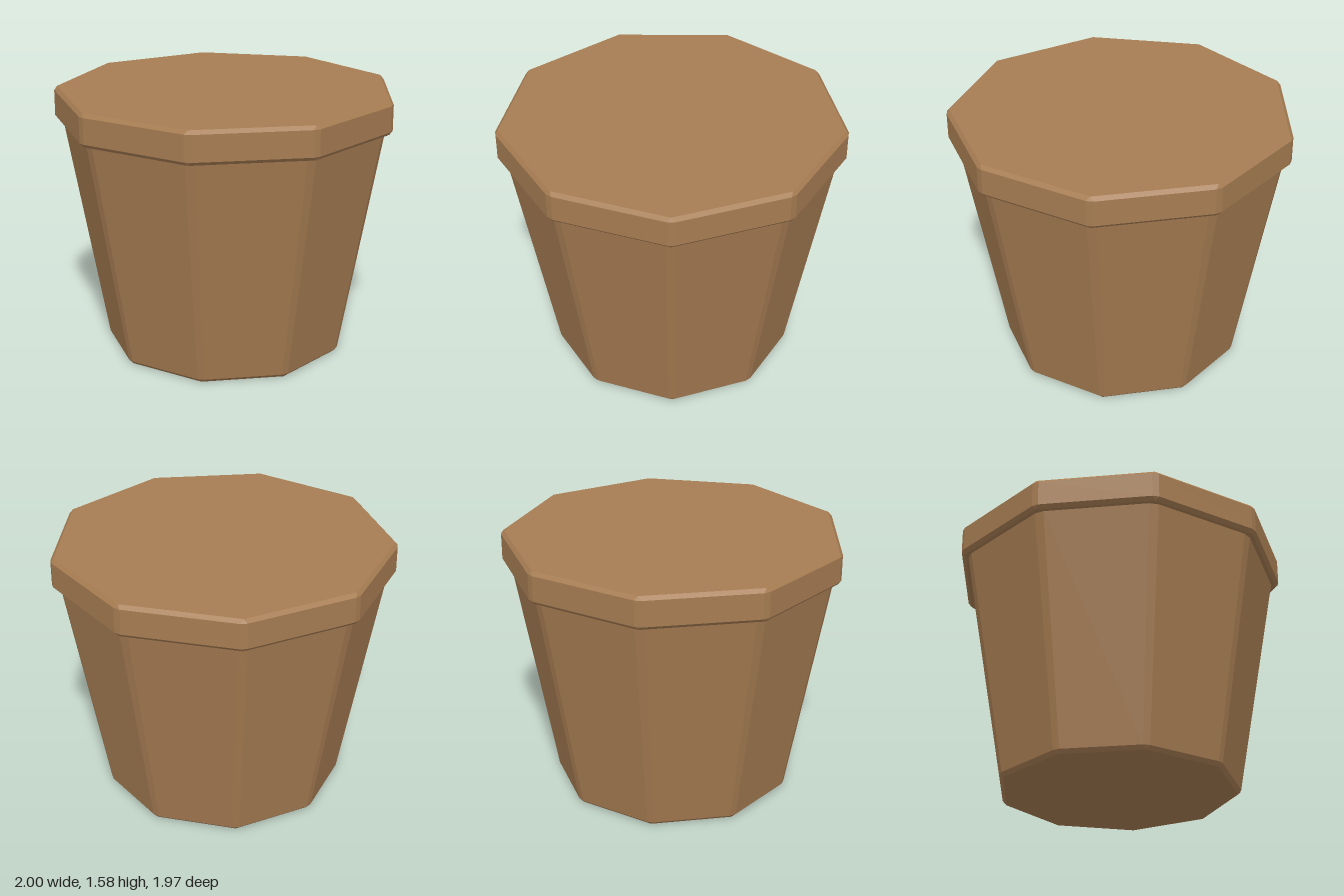
import * as THREE from 'three';

const SIDES = 9;
const CENTRE_Z = 0.027; // one corner points back, one flat side faces front

// Nonagon cross-section with every corner cut back by `cut` along its edges
function ring({ y, r, cut }) {
  const corner = (i) => {
    const a = (i * 2 * Math.PI) / SIDES;
    return new THREE.Vector3(r * Math.sin(a), y, CENTRE_Z - r * Math.cos(a));
  };
  const t = cut / (2 * r * Math.sin(Math.PI / SIDES));
  const points = [];
  for (let i = 0; i < SIDES; i++) {
    points.push(corner(i).lerp(corner(i - 1), t), corner(i).lerp(corner(i + 1), t));
  }
  return points;
}

// Closed solid through a stack of cross-sections, listed bottom to top
function loft(sections) {
  const rings = sections.map(ring);
  const positions = [];
  const tri = (a, b, c) => {
    const area = b.clone().sub(a).cross(c.clone().sub(a)).length();
    if (area > 1e-9) for (const p of [a, b, c]) positions.push(p.x, p.y, p.z);
  };
  const n = SIDES * 2;
  const top = rings[rings.length - 1];
  const bottomCentre = new THREE.Vector3(0, sections[0].y, CENTRE_Z);
  const topCentre = new THREE.Vector3(0, sections[sections.length - 1].y, CENTRE_Z);
  for (let i = 0; i < n; i++) {
    const j = (i + 1) % n;
    for (let k = 0; k < rings.length - 1; k++) {
      const lower = rings[k], upper = rings[k + 1];
      tri(lower[i], upper[i], upper[j]);
      tri(lower[i], upper[j], lower[j]);
    }
    tri(bottomCentre, rings[0][i], rings[0][j]);
    tri(topCentre, top[j], top[i]);
  }
  const geometry = new THREE.BufferGeometry();
  geometry.setAttribute('position', new THREE.Float32BufferAttribute(positions, 3));
  geometry.computeVertexNormals();
  return geometry;
}

export function createModel() {
  const clay = new THREE.MeshStandardMaterial({ color: 0xa67c52 });
  clay.name = 'clay brown';

  const group = new THREE.Group();
  group.name = 'plantPot';
  const add = (name, sections) => {
    const mesh = new THREE.Mesh(loft(sections), clay);
    mesh.name = name;
    group.add(mesh);
  };

  // Tapered body with a bevelled foot
  add('body', [
    { y: 0, r: 0.703, cut: 0 },
    { y: 0.022, r: 0.727, cut: 0.021 },
    { y: 1.4, r: 0.976, cut: 0.03 },
  ]);

  // Thick rim slab, bevelled above and below
  add('rim', [
    { y: 1.387, r: 0.997, cut: 0 },
    { y: 1.408, r: 1.018, cut: 0.021 },
    { y: 1.559, r: 1.018, cut: 0.021 },
    { y: 1.58, r: 0.997, cut: 0 },
  ]);

  return group;
}
